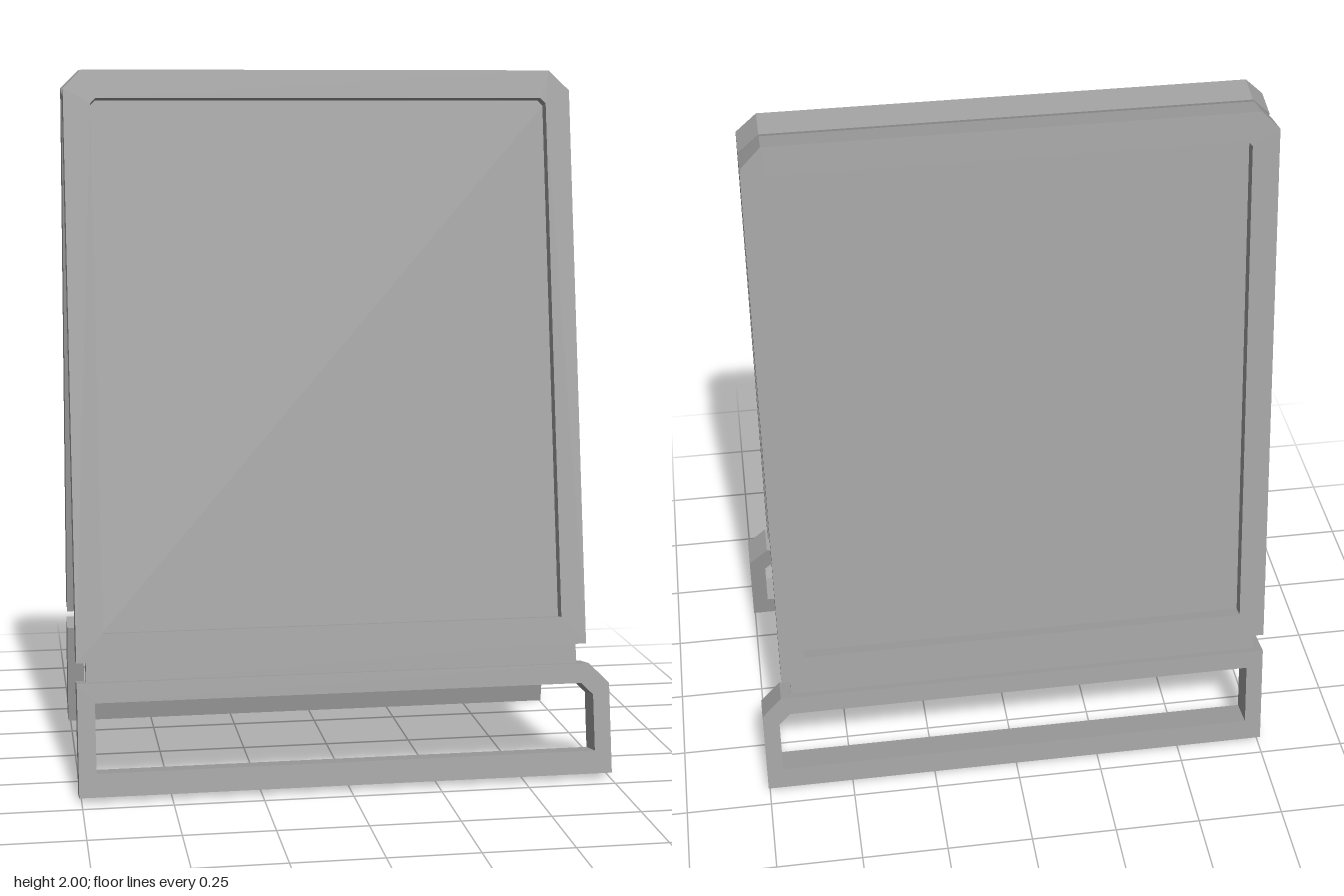
import * as THREE from 'three';

const TILT = 0.1792;      // lean of each board
const THICK = 0.089;      // board thickness

const toPoints = (pts) => pts.map(([x, y]) => new THREE.Vector2(x, y));

// Flat outline with an optional hole, extruded and centred on its thickness
function slab(outline, hole, depth) {
  const shape = new THREE.Shape(toPoints(outline));
  if (hole) shape.holes.push(new THREE.Path(toPoints(hole)));
  const geo = new THREE.ExtrudeGeometry(shape, { depth, bevelEnabled: false });
  return geo.translate(0, 0, -depth / 2);
}

// Rectangle with cut top corners (left cut, right cut)
function cutRect(x0, x1, y0, y1, left, right) {
  const pts = [[x0, y0], [x1, y0]];
  if (right) pts.push([x1, y1 - right], [x1 - right, y1]);
  else pts.push([x1, y1]);
  if (left) pts.push([x0 + left, y1], [x0, y1 - left]);
  else pts.push([x0, y1]);
  return pts;
}

export function createModel() {
  const model = new THREE.Group();
  model.name = 'foldingSignBoard';
  const grey = new THREE.MeshStandardMaterial({ color: 0xa0a0a0 });
  grey.name = 'grey';

  const parts = {
    // Frame around the recessed display area
    boardFrame: slab(
      cutRect(-0.757, 0.69, 0.37, 2.015, 0.052, 0.058),
      cutRect(-0.682, 0.62, 0.448, 1.935, 0.015, 0.015), THICK),
    // Thin display sheet, recessed from both faces
    displayPanel: slab(cutRect(-0.69, 0.628, 0.44, 1.943, 0.015, 0.015), null, 0.013),
    // Narrow strip joining the board to its foot
    neck: slab(cutRect(-0.73, 0.665, 0.305, 0.38, 0, 0), null, 0.045),
    // Open foot with one cut corner
    foot: slab(
      cutRect(-0.757, 0.754, 0, 0.314, 0, 0.058),
      cutRect(-0.708, 0.706, 0.065, 0.258, 0, 0.034), THICK),
  };

  // Two identical boards leaning against each other
  for (const side of [1, -1]) {
    const board = new THREE.Group();
    board.name = side > 0 ? 'frontBoard' : 'backBoard';
    for (const [name, geo] of Object.entries(parts)) {
      const mesh = new THREE.Mesh(geo, grey);
      mesh.name = name;
      board.add(mesh);
    }
    board.rotation.x = -side * TILT;
    board.position.set(0, 0.008, side * 0.408);
    model.add(board);
  }
  return model;
}
